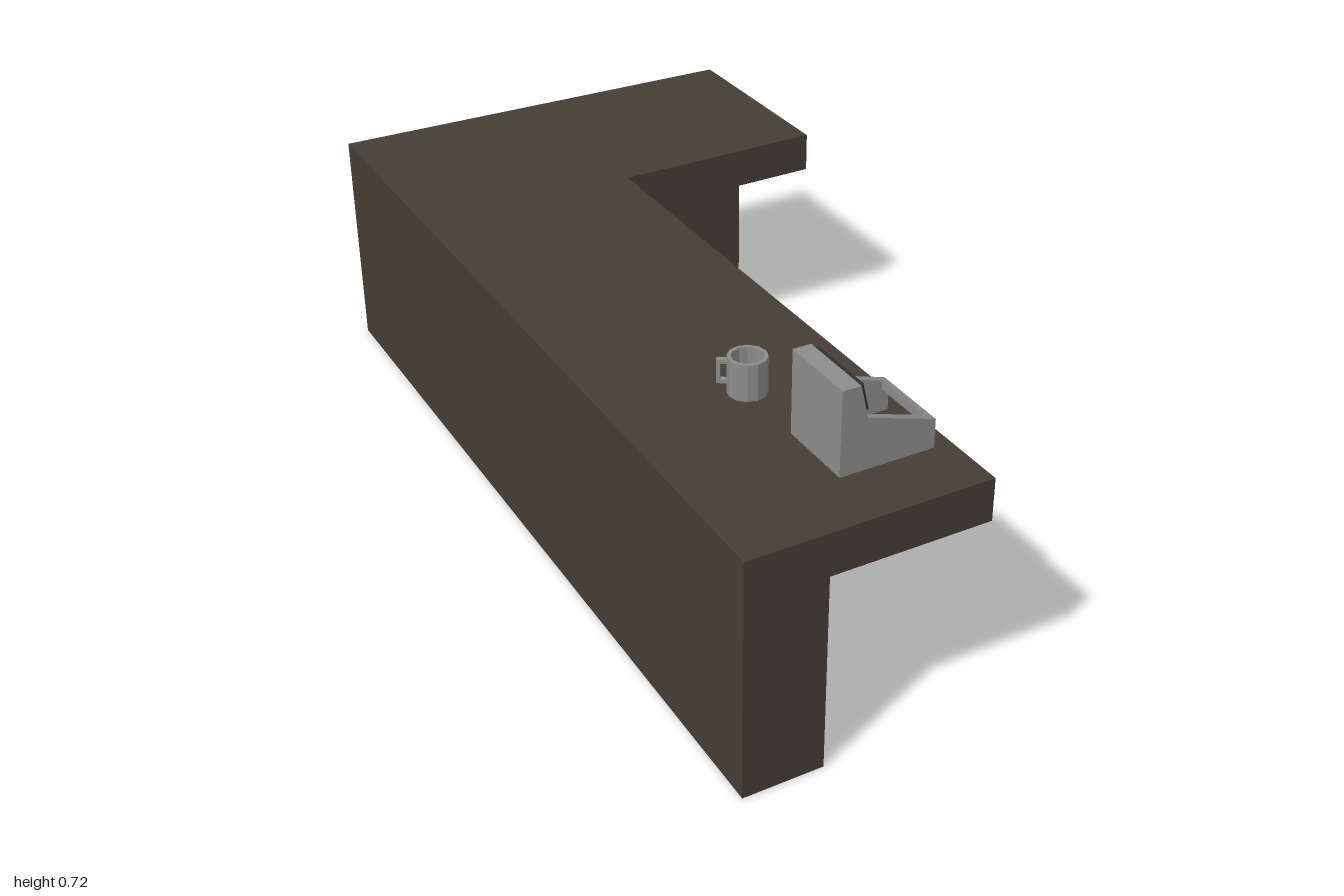
import * as THREE from 'three';

const material = (name, color) => {
  const m = new THREE.MeshStandardMaterial({ color });
  m.name = name;
  return m;
};

export function createModel() {
  const model = new THREE.Group();
  model.name = 'checkoutCounter';
  const brown = material('darkBrown', 0x443d35);
  const grey = material('grey', 0x8c8c8c);
  grey.flatShading = true;
  const green = material('screenGreen', 0x00e000);
  const dark = material('darkBezel', 0x2c2c2c);

  const add = (parent, name, geometry, mat, x = 0, y = 0, z = 0) => {
    const mesh = new THREE.Mesh(geometry, mat);
    mesh.name = name;
    mesh.position.set(x, y, z);
    parent.add(mesh);
    return mesh;
  };
  const extrude = (points, depth) => new THREE.ExtrudeGeometry(
    new THREE.Shape(points.map(([x, y]) => new THREE.Vector2(x, y))),
    { depth, bevelEnabled: false });
  // Floor plan given as [x, z], raised by a height
  const plan = (points, height) =>
    extrude(points.map(([x, z]) => [x, -z]), height).rotateX(-Math.PI / 2);

  // L-shaped counter: overhanging top on two outer walls
  add(model, 'counterTop', plan([
    [-0.515, -1], [-0.515, 1], [0.01, 1], [0.005, -0.48], [0.515, -0.49], [0.515, -1],
  ], 0.094), brown, 0, 0.44, 0);
  add(model, 'counterWalls', plan([
    [-0.515, -1], [-0.515, 1], [-0.34, 1], [-0.34, -0.835], [0.515, -0.835], [0.515, -1],
  ], 0.44), brown);

  // Cash register, facing +x
  const top = 0.534;
  const register = new THREE.Group();
  register.name = 'cashRegister';
  model.add(register);
  const z0 = 0.69, z1 = 0.862, wall = 0.016;
  add(register, 'registerBack', extrude([
    [-0.237, top], [-0.18, top], [-0.18, 0.645], [-0.197, 0.717], [-0.237, 0.717],
  ], z1 - z0), grey, 0, 0, z0);
  for (const z of [z0, z1 - wall]) {
    add(register, 'traySide', extrude([
      [-0.18, top], [-0.03, top], [-0.03, 0.597], [-0.18, 0.645],
    ], wall), grey, 0, 0, z);
  }
  // Lip bridging the open front of the tray
  add(register, 'trayFrontLip', extrude([
    [-0.046, 0.583], [-0.03, 0.583], [-0.03, 0.597], [-0.046, 0.602],
  ], z1 - z0 - 2 * wall), grey, 0, 0, z0 + wall);

  // Tilted display
  const display = new THREE.Group();
  display.name = 'display';
  display.position.set(-0.187, 0.684, (z0 + z1) / 2);
  display.rotation.z = 0.232;
  register.add(display);
  add(display, 'bezel', new THREE.BoxGeometry(0.008, 0.06, 0.152), dark, 0.003);
  add(display, 'screen', new THREE.BoxGeometry(0.002, 0.049, 0.138), green, 0.0075);

  // Open mug with a square handle
  const mug = new THREE.Group();
  mug.name = 'mug';
  mug.position.set(-0.233, top, 0.518);
  model.add(mug);
  const profile = [[0.041, 0], [0.041, 0.081], [0.033, 0.081], [0.033, 0]]
    .map(([r, y]) => new THREE.Vector2(r, y));
  add(mug, 'mugBody', new THREE.LatheGeometry(profile, 12), grey);
  const handle = new THREE.Group();
  handle.name = 'mugHandle';
  handle.rotation.y = 2.55;
  mug.add(handle);
  add(handle, 'handleGrip', new THREE.BoxGeometry(0.008, 0.052, 0.012), grey, 0.057, 0.045, 0);
  for (const y of [0.023, 0.067]) {
    add(handle, 'handleArm', new THREE.BoxGeometry(0.016, 0.008, 0.012), grey, 0.046, y, 0);
  }
  return model;
}
